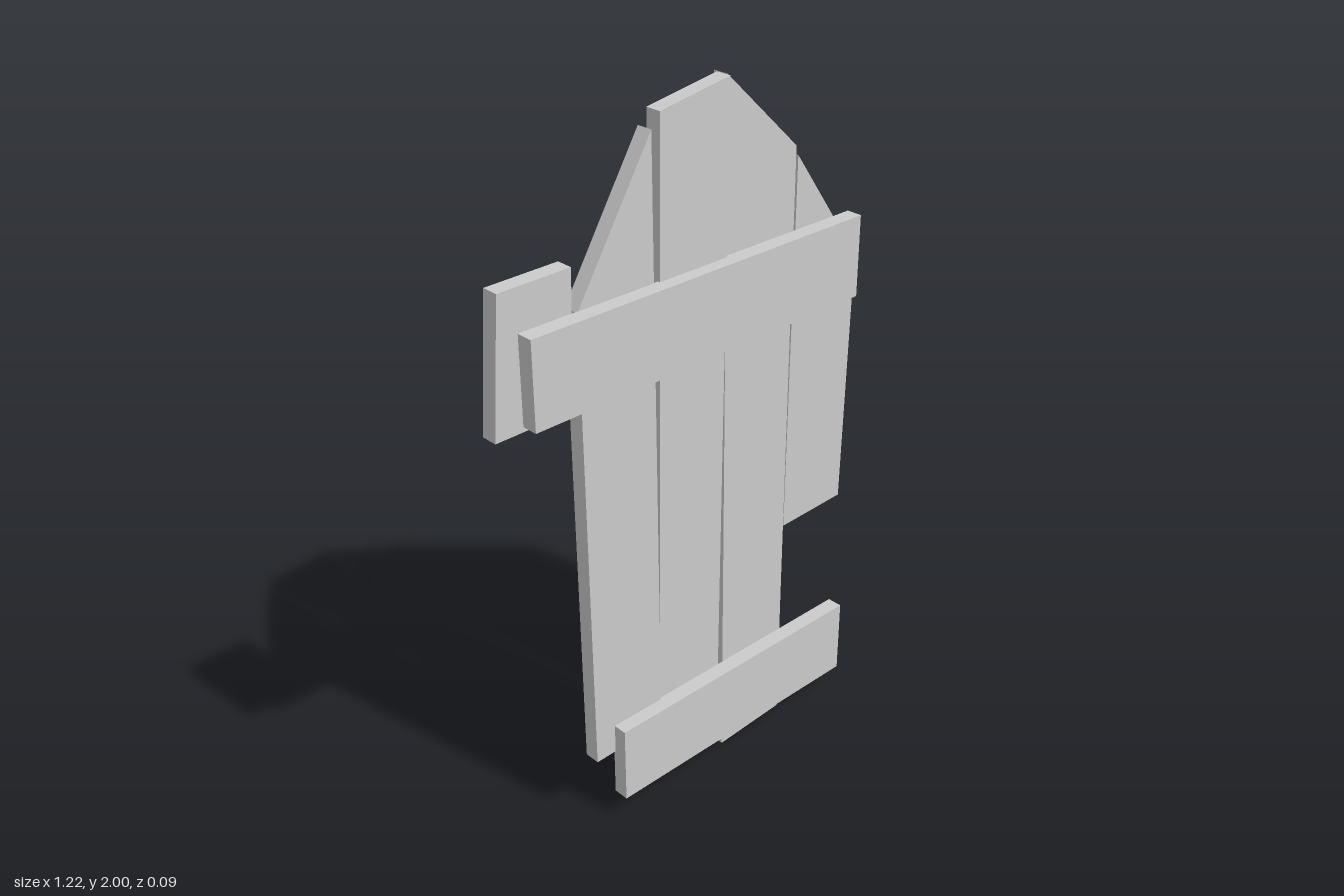
import * as THREE from 'three';

const THICK = 0.045;

// Flat board cut to an outline (counter-clockwise from the front).
// The front face sits at zLow on the ground and zHigh at y = 2, so a board can lean.
function board(name, outline, zLow, zHigh = zLow) {
  const shape = new THREE.Shape(outline.map(([x, y]) => new THREE.Vector2(x, y)));
  const geometry = new THREE.ExtrudeGeometry(shape, { depth: THICK, bevelEnabled: false });
  const p = geometry.attributes.position;
  for (let i = 0; i < p.count; i++) {
    p.setZ(i, p.getZ(i) - THICK + zLow + (zHigh - zLow) * p.getY(i) / 2);
  }
  geometry.computeVertexNormals();
  const mesh = new THREE.Mesh(geometry, new THREE.MeshStandardMaterial({ color: 0xcccccc, flatShading: true }));
  mesh.name = name;
  return mesh;
}

export function createModel() {
  const group = new THREE.Group();
  group.name = 'brokenPlankPanel';
  group.add(
    // Upright planks, from the model's right to its left
    board('brokenStub', [[-0.61, 1.305], [-0.38, 1.305], [-0.37, 1.665], [-0.58, 1.665]], -0.001),
    board('rightPlank', [[-0.355, 0.22], [-0.12, 0.22], [-0.125, 1.925], [-0.36, 1.55]], 0.007, 0.002),
    board('middlePlank', [[-0.118, 0.22], [0.108, 0.22], [0.115, 2.0], [-0.107, 1.965]], -0.004, 0.012),
    board('leftPlank', [[0.125, 0.0], [0.36, 0.01], [0.365, 1.77], [0.12, 2.0]], 0.001, -0.003),
    board('shortPlank', [[0.363, 0.655], [0.595, 0.66], [0.61, 1.41], [0.37, 1.745]], 0.0),
    // Cross battens on the front
    board('upperBatten', [[-0.53, 1.32], [0.57, 1.315], [0.57, 1.545], [-0.53, 1.555]], 0.046),
    board('lowerBatten', [[-0.29, 0.075], [0.58, 0.065], [0.58, 0.295], [-0.29, 0.308]], 0.046),
  );
  return group;
}
